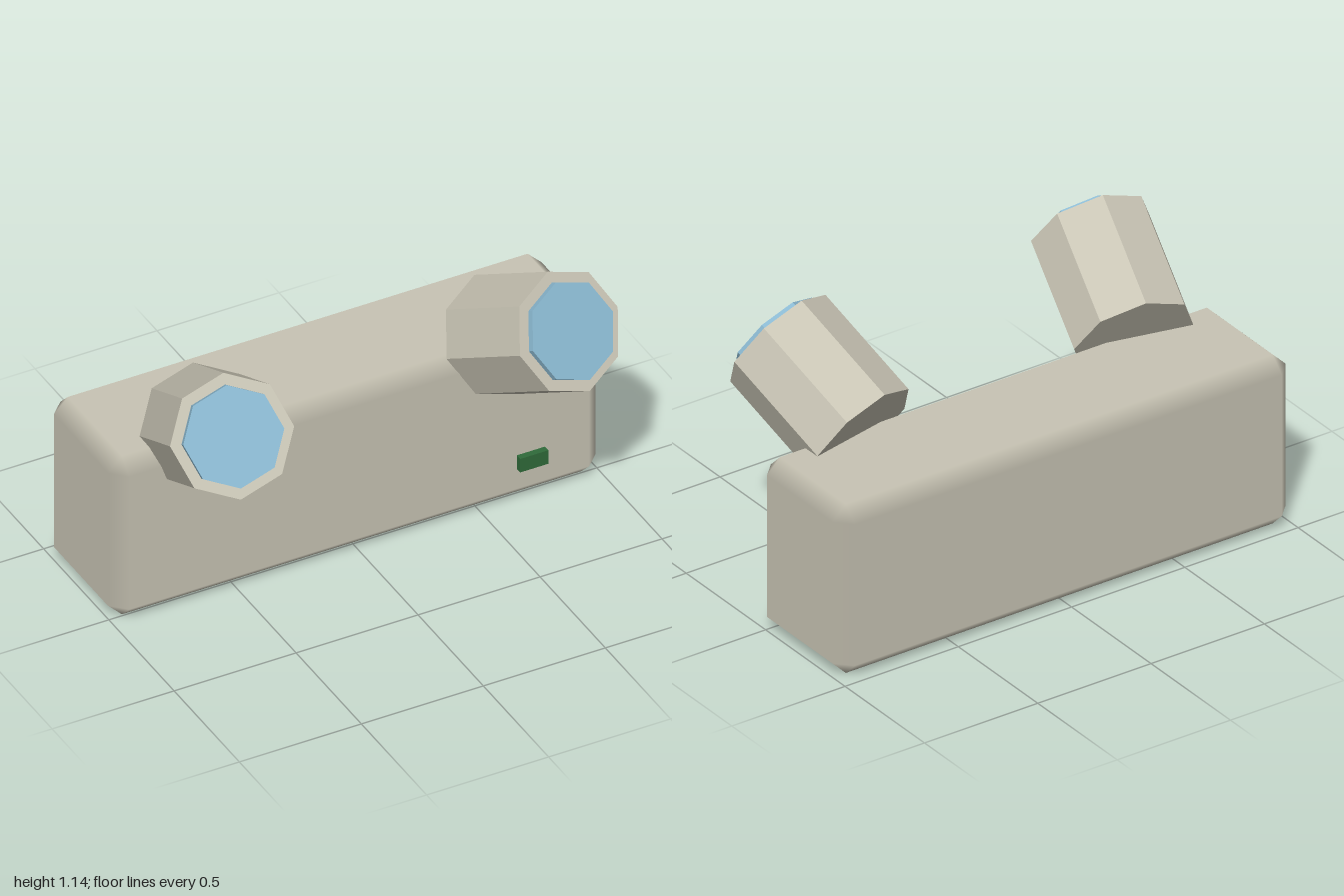
import * as THREE from 'three';
import { ConvexGeometry } from 'three/addons/geometries/ConvexGeometry.js';

const casing = new THREE.MeshStandardMaterial({ name: 'warm grey casing', color: 0xc8c4b4 });
const glass = new THREE.MeshStandardMaterial({ name: 'pale blue glass', color: 0x8ab8d0 });
const green = new THREE.MeshStandardMaterial({ name: 'dark green', color: 0x2f6b3a });

function part(name, geometry, material, x = 0, y = 0, z = 0) {
  const mesh = new THREE.Mesh(geometry, material);
  mesh.name = name;
  mesh.position.set(x, y, z);
  return mesh;
}

// Chamfered box whose chamfers shade smoothly between its flat faces
function chamferedBox(w, h, d, c) {
  const half = [w / 2, h / 2, d / 2];
  const points = [];
  for (const sx of [-1, 1]) for (const sy of [-1, 1]) for (const sz of [-1, 1]) {
    const signs = [sx, sy, sz];
    for (let axis = 0; axis < 3; axis++) {
      points.push(new THREE.Vector3(...half.map((v, i) => signs[i] * (i === axis ? v : v - c))));
    }
  }
  const geometry = new ConvexGeometry(points);
  const pos = geometry.attributes.position;
  const normal = geometry.attributes.normal;
  for (let i = 0; i < pos.count; i++) {
    const p = [pos.getX(i), pos.getY(i), pos.getZ(i)];
    normal.setXYZ(i, ...p.map((v, k) => (Math.abs(v) > half[k] - c / 2 ? Math.sign(v) : 0)));
  }
  return geometry;
}

// Faceted eight-sided cylinder along z, from z = back to z = front
function octagonTube(radius, back, front) {
  const geometry = new THREE.CylinderGeometry(radius, radius, front - back, 8)
    .rotateX(Math.PI / 2)
    .translate(0, 0, (front + back) / 2)
    .toNonIndexed();
  geometry.computeVertexNormals();
  return geometry;
}

export function createModel() {
  const model = new THREE.Group();
  model.name = 'twinLampUnit';

  // Main housing
  model.add(part('housing', chamferedBox(2, 0.705, 0.53, 0.058), casing, 0, 0.3525, -0.215));

  // Small indicator on the lower front
  model.add(part('indicator', new THREE.BoxGeometry(0.115, 0.06, 0.05), green, 0.703, 0.177, 0.051));

  // Two lamps, tilted up and turned outward
  for (const side of [-1, 1]) {
    const lamp = new THREE.Group();
    lamp.name = side > 0 ? 'leftLamp' : 'rightLamp';
    lamp.add(part('lampBarrel', octagonTube(0.233, -0.47, 0), casing));
    lamp.add(part('lampLens', octagonTube(0.19, -0.02, 0.026), glass));
    lamp.position.set(side * 0.69, 0.942, 0.365);
    lamp.rotation.set(-Math.PI / 6, side * 0.218, 0, 'YXZ');
    model.add(lamp);
  }
  return model;
}
